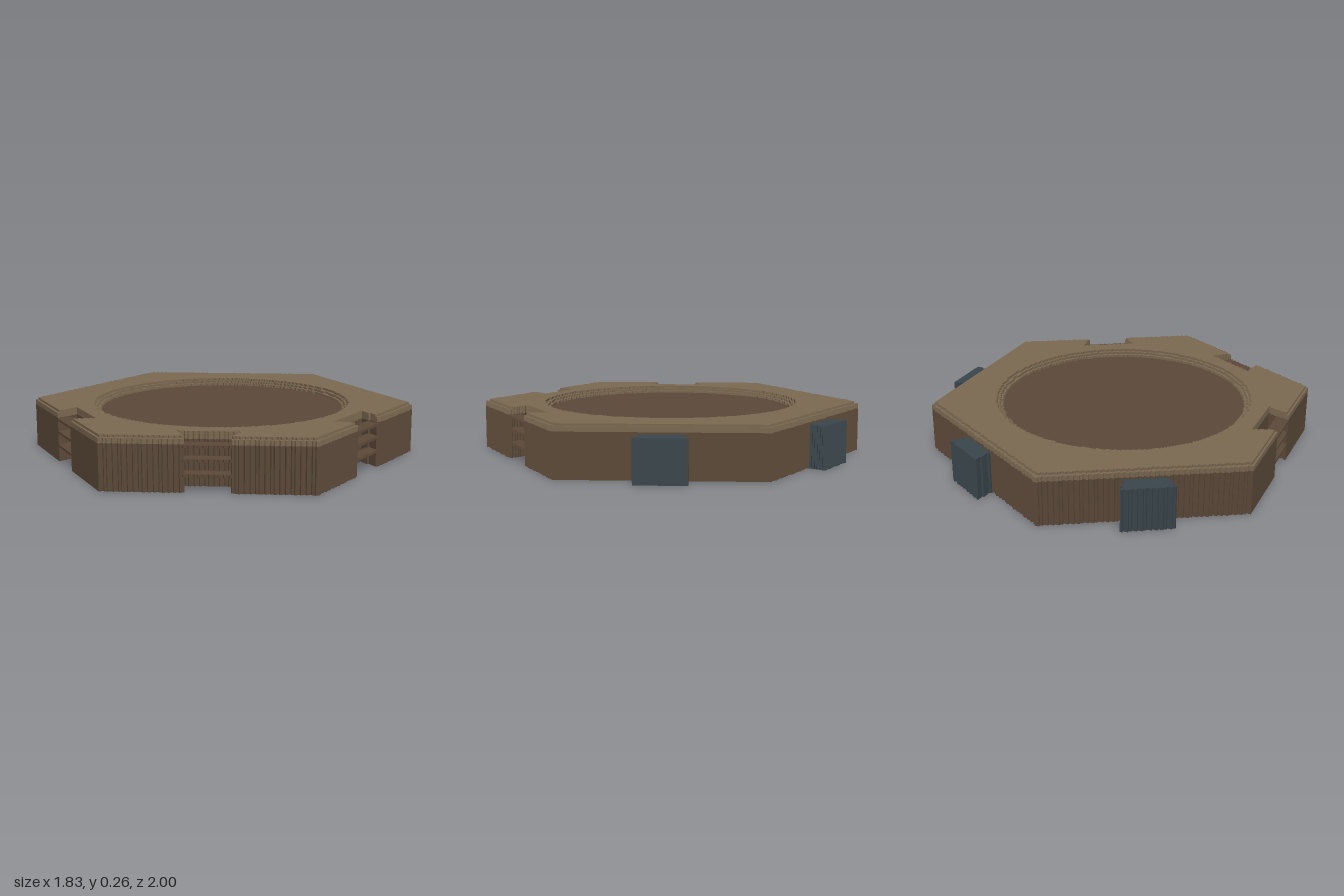
import * as THREE from 'three';

const P = 1 / 87;        // grid pitch of the stepped outlines
const N = 89;            // half the number of grid cells
const A = 0.865;         // distance from centre to each flat side

const tileTop = new THREE.MeshStandardMaterial({ color: 0x7a6850 });
tileTop.name = 'tan deck';
const tileBody = new THREE.MeshStandardMaterial({ color: 0x5b4939 });
tileBody.name = 'brown body';
const tabColor = new THREE.MeshStandardMaterial({ color: 0x3a464c });
tabColor.name = 'slate connector';

// Distance outward (u) and sideways (v) relative to side k of the hexagon
const side = (k, x, z) => {
  const a = (k * Math.PI) / 3, c = Math.cos(a), s = Math.sin(a);
  return [x * c - z * s, x * s + z * c];
};
const SIDES = [0, 1, 2, 3, 4, 5];

// Plan outlines
const hex = (x, z, r = A) => SIDES.every((k) => side(k, x, z)[0] < r);
const disc = (x, z, r) => Math.hypot(x, z) < r;
const slot = (x, z) => [3, 4, 5].some((k) => {
  const [u, v] = side(k, x, z);
  return u > A - 0.115 && Math.abs(v) < 0.105 + (0.04 * (A - u)) / 0.115;
});
const rung = (x, z) => hex(x, z) && slot(x, z) &&
  [3, 4, 5].some((k) => side(k, x, z)[0] > A - 0.07);
const tab = (k) => (x, z) => {
  const [u, v] = side(k, x, z);
  return u > A && u < 0.96 && Math.abs(v) < 0.1 + (0.028 * (u - A)) / 0.095;
};
const block = (x, z) => hex(x, z) && !slot(x, z);
const none = () => false;

// Calls emit(start, end) for every unbroken run of cells passing the test
function runs(test, emit) {
  let start = null;
  for (let i = -N; i <= N; i++) {
    const on = i < N && test(i);
    if (on && start === null) start = i;
    if (!on && start !== null) {
      emit(start * P, i * P);
      start = null;
    }
  }
}

// Extrudes a plan outline from y0 to y1 as a grid-stepped solid;
// above and below are the outlines of the layers it touches
function slab(name, material, inside, y0, y1, below = none, above = none) {
  const pos = [];
  const cells = (f) => {
    const grid = [];
    for (let i = -N - 1; i <= N; i++) {
      const row = [];
      for (let j = -N - 1; j <= N; j++) row.push(f((i + 0.5) * P, (j + 0.5) * P));
      grid.push(row);
    }
    return (i, j) => grid[i + N + 1][j + N + 1];
  };
  const solid = cells(inside), over = cells(above), under = cells(below);
  const quad = (flip, a, b, c, d) => {
    if (flip) [b, d] = [d, b];
    pos.push(...a, ...b, ...c, ...a, ...c, ...d);
  };
  for (let r = -N; r < N; r++) {
    const r0 = r * P, r1 = r0 + P;
    // top and bottom strips
    for (const [cover, y, flip] of [[over, y1, false], [under, y0, true]]) {
      runs((i) => solid(i, r) && !cover(i, r), (a, b) =>
        quad(flip, [a, y, r1], [b, y, r1], [b, y, r0], [a, y, r0]));
    }
    // walls facing along z, then along x
    for (const d of [1, -1]) {
      const w = d > 0 ? r1 : r0;
      runs((i) => solid(i, r) && !solid(i, r + d), (a, b) =>
        quad(d < 0, [a, y0, w], [b, y0, w], [b, y1, w], [a, y1, w]));
      runs((j) => solid(r, j) && !solid(r + d, j), (a, b) =>
        quad(d < 0, [w, y0, b], [w, y0, a], [w, y1, a], [w, y1, b]));
    }
  }
  const geometry = new THREE.BufferGeometry();
  geometry.setAttribute('position', new THREE.Float32BufferAttribute(pos, 3));
  geometry.computeVertexNormals();
  const mesh = new THREE.Mesh(geometry, material);
  mesh.name = name;
  return mesh;
}

export function createModel() {
  const group = new THREE.Group();
  group.name = 'hexTile';

  // Base with a round socket underneath, then the deck with a stepped basin
  const layers = [
    ['socketBase', tileBody, 0, 0.09, (x, z) => block(x, z) && !disc(x, z, 0.118)],
    ['body', tileBody, 0.09, 0.225, block],
    ['deckLower', tileTop, 0.225, 0.238, (x, z) => block(x, z) && !disc(x, z, 0.635)],
    ['deckMiddle', tileTop, 0.238, 0.25, (x, z) => block(x, z) && !disc(x, z, 0.65)],
    ['deckTop', tileTop, 0.25, 0.262,
      (x, z) => block(x, z) && hex(x, z, A - 0.016) && !disc(x, z, 0.665)],
  ];
  layers.forEach(([name, material, y0, y1, inside], i) => {
    group.add(slab(name, material, inside, y0, y1, layers[i - 1]?.[4], layers[i + 1]?.[4]));
  });

  // Thin rungs across the dovetail slots
  [0.075, 0.145, 0.21].forEach((y, i) => {
    group.add(slab('slotRungs' + (i + 1), tileBody, rung, y, y + 0.012));
  });

  // Dovetail tabs opposite the slots
  ['leftTab', 'backLeftTab', 'backRightTab'].forEach((name, k) => {
    group.add(slab(name, tabColor, tab(k), 0, 0.215));
  });

  // Centre the whole footprint, tabs included
  group.children.forEach((m) => { m.position.x = -0.0475; });
  return group;
}
